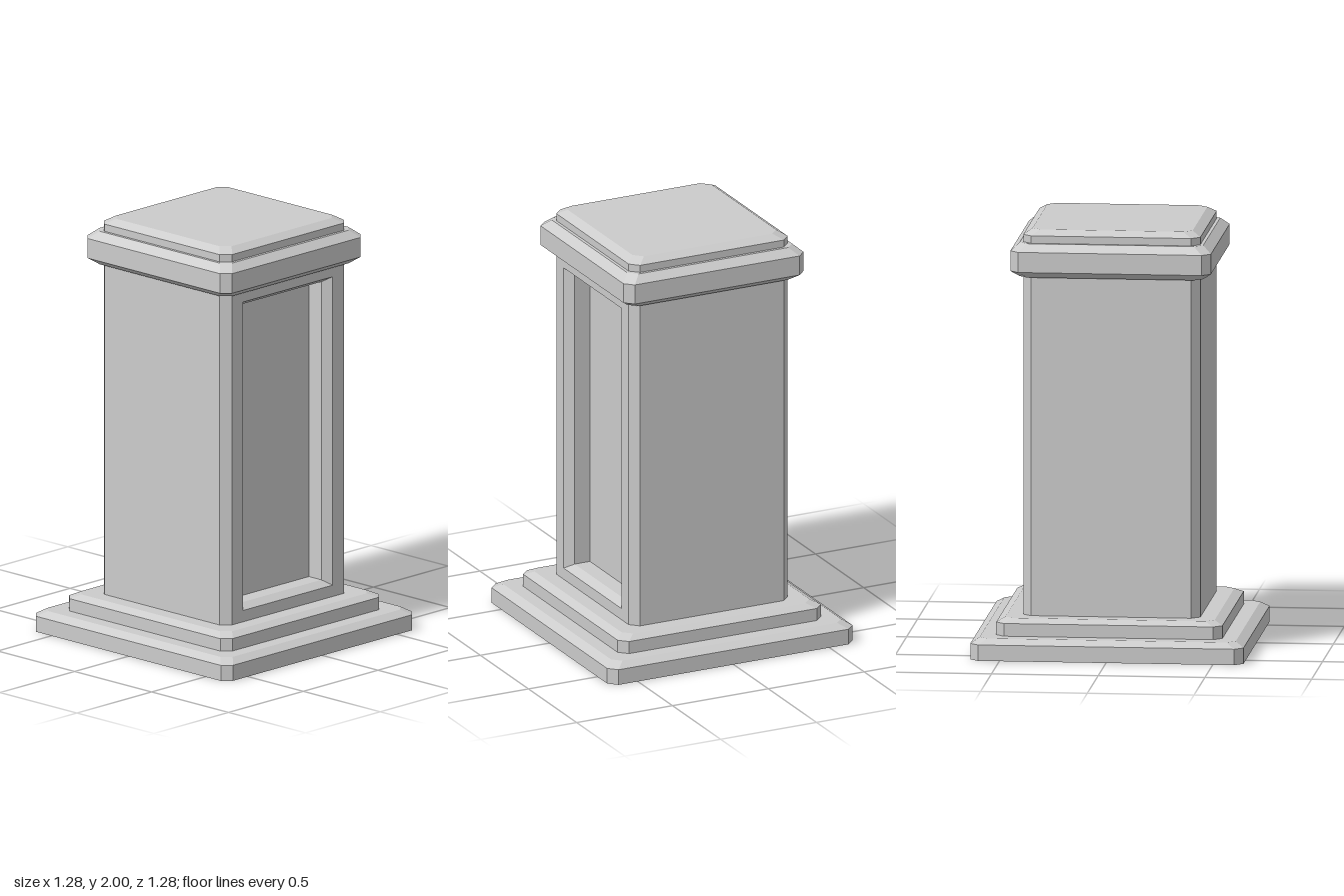
import * as THREE from 'three';

const material = new THREE.MeshStandardMaterial({ color: 0xcccccc, flatShading: true });

// Join closed rings of points with flat quads; optionally cap the ends or leave one side out.
function loft(rings, { startCap = true, endCap = true, skip = -1 } = {}) {
  const pos = [];
  const tri = (a, b, c) => pos.push(...a, ...b, ...c);
  const n = rings[0].length;
  for (let r = 0; r < rings.length - 1; r++) {
    const lo = rings[r], hi = rings[r + 1];
    for (let i = 0; i < n; i++) {
      if (i === skip) continue;
      const j = (i + 1) % n;
      tri(lo[i], lo[j], hi[j]);
      tri(lo[i], hi[j], hi[i]);
    }
  }
  const first = rings[0], last = rings[rings.length - 1];
  for (let i = 1; i < n - 1; i++) {
    if (startCap) tri(first[0], first[i + 1], first[i]);
    if (endCap) tri(last[0], last[i], last[i + 1]);
  }
  const geo = new THREE.BufferGeometry();
  geo.setAttribute('position', new THREE.Float32BufferAttribute(pos, 3));
  geo.computeVertexNormals();
  return geo;
}

// Square plan with cut corners at height y; side 0 faces the front.
function plan(half, y, cut = 0.04) {
  const k = half - cut;
  return [
    [-k, y, half], [k, y, half], [half, y, k], [half, y, -k],
    [k, y, -half], [-k, y, -half], [-half, y, -k], [-half, y, k],
  ];
}

// Upright rectangle at depth z.
const rect = (w, y0, y1, z) => [[-w, y0, z], [w, y0, z], [w, y1, z], [-w, y1, z]];

export function createModel() {
  const group = new THREE.Group();
  const add = (name, geo, parent = group) => {
    const mesh = new THREE.Mesh(geo, material);
    mesh.name = name;
    parent.add(mesh);
  };

  // Bevelled slabs, each a list of [half width, height]
  const slabs = {
    basePlinth: [[0.64, 0], [0.64, 0.075], [0.6, 0.1]],
    baseStep: [[0.53, 0.1], [0.53, 0.16], [0.49, 0.18]],
    capMoulding: [[0.43, 1.78], [0.47, 1.81], [0.47, 1.905], [0.43, 1.94]],
    capTop: [[0.415, 1.94], [0.415, 1.975], [0.375, 2]],
  };
  for (const [name, profile] of Object.entries(slabs)) {
    add(name, loft(profile.map(([half, y]) => plan(half, y))));
  }

  // Shaft: plain sides and back, framed front with a sunken panel
  const shaft = new THREE.Group();
  shaft.name = 'shaft';
  group.add(shaft);
  const half = 0.415, y0 = 0.18, y1 = 1.78;
  add('shaftWalls', loft([plan(half, y0), plan(half, y1)], { skip: 0 }), shaft);

  const toPoints = (ring) => ring.map(([x, y]) => new THREE.Vector2(x, y));
  const opening = rect(0.3, 0.235, 1.73, half);
  const frame = new THREE.Shape(toPoints(rect(half - 0.04, y0, y1, half)));
  frame.holes.push(new THREE.Path(toPoints(opening)));
  add('frontFrame', new THREE.ShapeGeometry(frame).translate(0, 0, half), shaft);

  // Sloped lip, straight reveal and back of the panel
  const recess = [opening, rect(0.265, 0.26, 1.705, 0.375), rect(0.265, 0.26, 1.705, 0.295)];
  add('frontPanel', loft(recess, { startCap: false }), shaft);

  return group;
}
